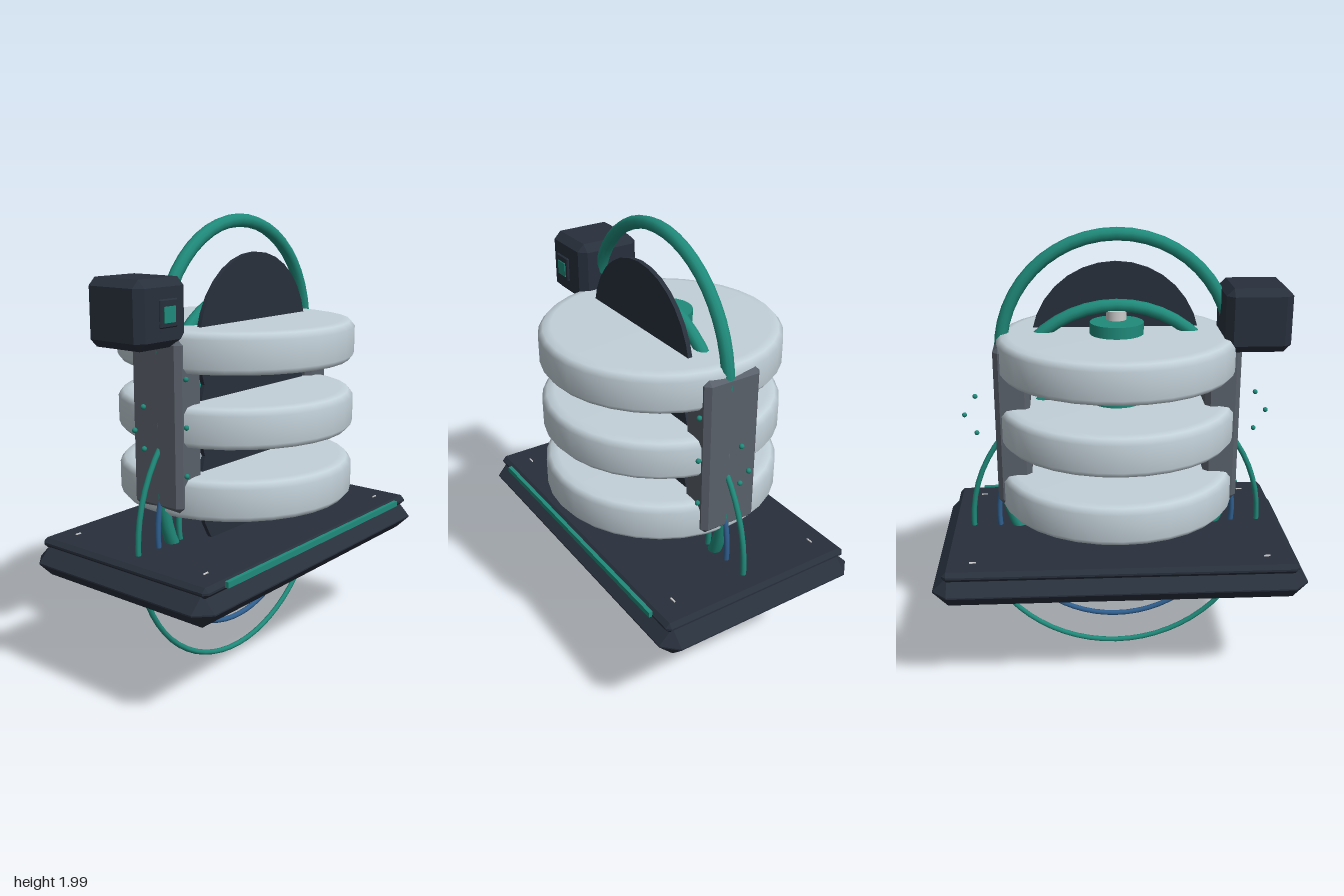
import * as THREE from 'three';
import { ConvexGeometry } from 'three/addons/geometries/ConvexGeometry.js';

const paint = (color, flatShading = false) => new THREE.MeshStandardMaterial({ color, flatShading });

// Box with flat chamfers on every edge: the hull of its six inset faces
function chamferBox(w, h, d, c) {
  const [x, y, z] = [w / 2, h / 2, d / 2];
  const points = [];
  for (const sx of [-1, 1]) for (const sy of [-1, 1]) for (const sz of [-1, 1]) {
    points.push(
      new THREE.Vector3(sx * x, sy * (y - c), sz * (z - c)),
      new THREE.Vector3(sx * (x - c), sy * y, sz * (z - c)),
      new THREE.Vector3(sx * (x - c), sy * (y - c), sz * z));
  }
  return new ConvexGeometry(points);
}

export function createModel() {
  const model = new THREE.Group();
  const dark = paint(0x28303c, true);
  const darkSmooth = paint(0x28303c);
  const pale = paint(0xc2d0d8);
  const green = paint(0x1f8a7a);
  const blue = paint(0x2f5f8f);
  const steel = paint(0x59606a, true);
  const grey = paint(0xcccccc);

  const add = (name, geometry, material, x, y, z) => {
    const mesh = new THREE.Mesh(geometry, material);
    mesh.name = name;
    mesh.position.set(x, y, z);
    model.add(mesh);
    return mesh;
  };

  // Base slab, top plate, front light strip and corner screws
  add('base', chamferBox(1.6, 0.134, 0.98, 0.064), dark, 0, 0.558, 0);
  add('topPlate', chamferBox(1.51, 0.045, 0.92, 0.018), dark, 0, 0.634, 0);
  add('frontStrip', new THREE.BoxGeometry(1.28, 0.025, 0.018), green, 0, 0.643, 0.467);
  for (const x of [-0.63, 0.63]) for (const z of [-0.365, 0.355]) {
    add('screw', new THREE.BoxGeometry(0.028, 0.012, 0.006), grey, x, 0.655, z);
  }

  // Three stacked tiers: rounded disc, round back plate, and a hose ring
  const h = 0.0875;
  const discProfile = [
    [0, -h], [0.46, -h], [0.495, -h + 0.006], [0.515, -h + 0.03],
    [0.515, h - 0.03], [0.495, h - 0.006], [0.46, h], [0, h],
  ].map(([r, y]) => new THREE.Vector2(r, y));
  const discGeometry = new THREE.LatheGeometry(discProfile, 32);
  const plateGeometry = new THREE.CylinderGeometry(0.37, 0.37, 0.02, 32).rotateX(Math.PI / 2);
  const hoseGeometry = new THREE.TorusGeometry(0.498, 0.028, 10, 48);
  for (const y of [0.873, 1.173, 1.473]) {
    add('disc', discGeometry, pale, 0, y, 0);
    add('roundPlate', plateGeometry, darkSmooth, 0, y, 0.098);
    add('hoseRing', hoseGeometry, green, 0, y, 0.016);
  }

  // Hub and axle through the stack
  add('hub', new THREE.CylinderGeometry(0.115, 0.115, 0.88, 24), green, 0, 1.17, -0.024);
  add('axle', new THREE.CylinderGeometry(0.044, 0.044, 0.96, 20), grey, 0, 1.17, 0.02);

  // Thin cable loops hanging below the base
  const loops = [['outerCable', 0.653, 0.675, green], ['middleCable', 0.535, 0.705, blue], ['innerCable', 0.405, 0.725, green]];
  for (const [name, radius, y, material] of loops) {
    add(name, new THREE.TorusGeometry(radius, 0.012, 8, 64), material, 0, y, 0.016);
  }

  // Side brackets with small lamps, mirrored left and right
  const bracketGeometry = chamferBox(0.15, 0.71, 0.265, 0.022);
  const lampGeometry = new THREE.SphereGeometry(0.011, 10, 8);
  for (const side of [-1, 1]) {
    add('sideBracket', bracketGeometry, steel, side * 0.45, 1.173, 0);
    for (const y of [0.98, 1.18, 1.375]) add('bracketLamp', lampGeometry, green, side * 0.5, y, 0.15);
    for (const [x, y] of [[0.62, 1.1], [0.67, 1.185], [0.62, 1.27]]) {
      add('sideLamp', lampGeometry, green, side * x, y, 0.032);
    }
  }

  // Control box with a framed indicator
  add('controlBox', chamferBox(0.28, 0.27, 0.295, 0.032), dark, -0.585, 1.635, -0.024);
  add('indicatorFrame', chamferBox(0.1, 0.11, 0.012, 0.005), dark, -0.585, 1.64, 0.142);
  add('indicator', new THREE.BoxGeometry(0.062, 0.062, 0.008), green, -0.585, 1.636, 0.148);

  return model;
}
